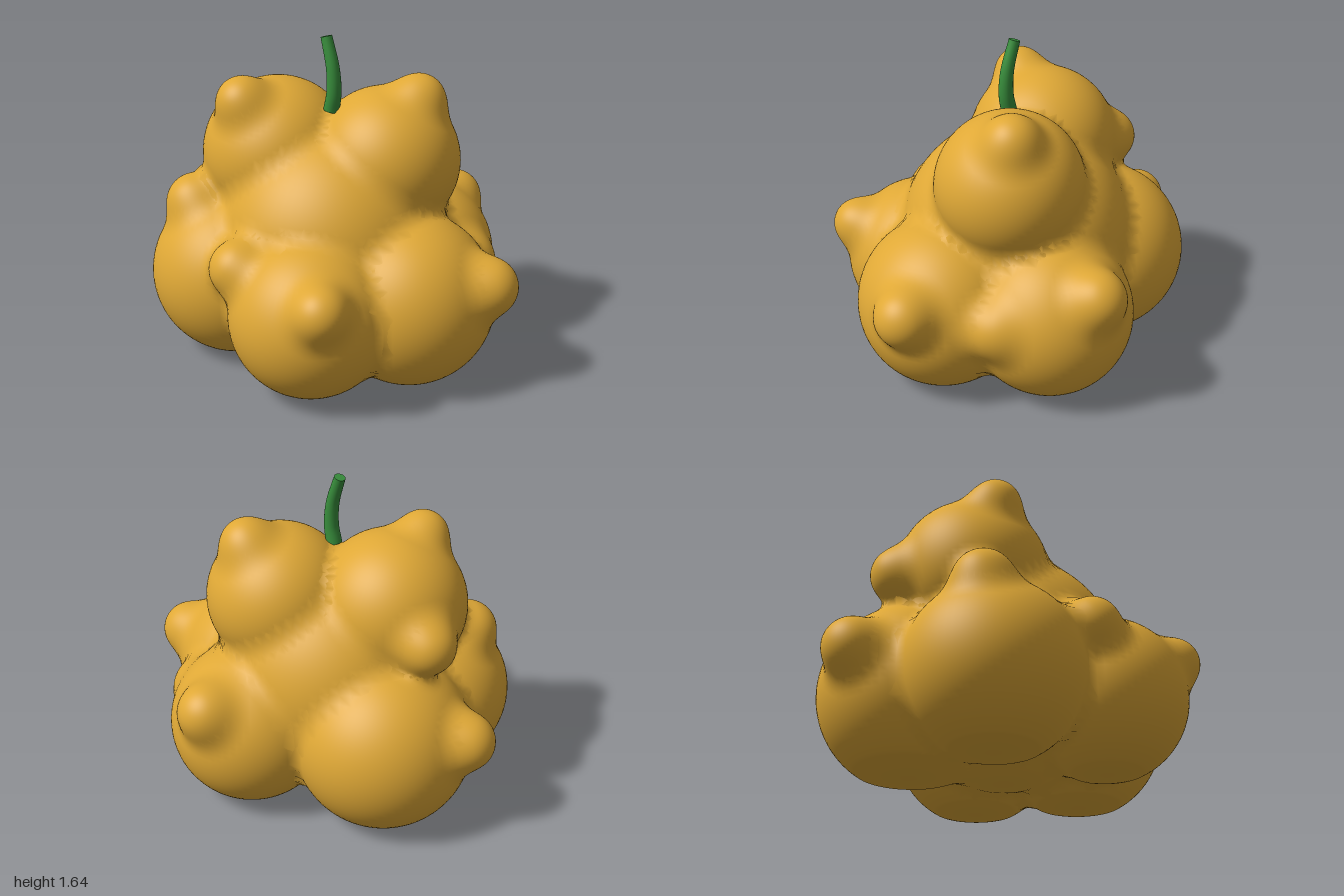
import * as THREE from 'three';

// Large lobes: name, centre x y z, radius
const LOBES = [
  ['core', 0, 0.6, 0.05, 0.59],
  ['frontRightLobe', -0.32, 0.4, 0.42, 0.43],
  ['frontLeftLobe', 0.3, 0.39, 0.46, 0.4],
  ['leftLobe', 0.5, 0.4, 0, 0.43],
  ['rightLobe', -0.45, 0.4, -0.08, 0.45],
  ['backLobe', 0.15, 0.39, -0.4, 0.415],
  ['upperFrontLobe', -0.27, 1.0, 0.17, 0.38],
  ['upperBackLobe', 0.19, 1.0, -0.14, 0.37],
];

// Small warts on the lobes
const WARTS = [
  ['upperFrontWart', -0.285, 1.3, 0.38, 0.13],
  ['upperBackWart', 0.28, 1.3, -0.27, 0.135],
  ['upperSideWart', -0.61, 0.96, 0.04, 0.14],
  ['rightWart', -0.855, 0.51, 0.06, 0.145],
  ['leftWart', 0.855, 0.53, -0.18, 0.145],
  ['frontLeftWart', 0.58, 0.58, 0.65, 0.13],
  ['frontRightWart', -0.47, 0.76, 0.55, 0.15],
  ['frontMiddleWart', 0.04, 0.62, 0.69, 0.14],
  ['backWart', 0.13, 0.61, -0.72, 0.145],
  ['backLeftWart', 0.5, 0.45, -0.43, 0.14],
];

// Blend two distances with a soft fillet of width k
function blend(a, b, k) {
  const h = Math.max(k - Math.abs(a - b), 0) / k;
  return Math.min(a, b) - h * h * k * 0.25;
}

// Signed distance to the whole blended body
function field(x, y, z) {
  let d = 10;
  for (const [, cx, cy, cz, r] of LOBES) d = blend(d, Math.hypot(x - cx, y - cy, z - cz) - r, 0.05);
  for (const [, cx, cy, cz, r] of WARTS) d = blend(d, Math.hypot(x - cx, y - cy, z - cz) - r, 0.09);
  return d;
}

// A sphere whose skin is pushed outward onto the blended body, with a squashed base
function lobeGeometry([, cx, cy, cz, r], segments) {
  const geometry = new THREE.SphereGeometry(1, segments, Math.round(segments * 0.65));
  const pos = geometry.attributes.position;
  const nor = geometry.attributes.normal;
  const dir = new THREE.Vector3(), p = new THREE.Vector3(), n = new THREE.Vector3();
  const floor = 0.03, squash = 0.35, e = 0.002;
  for (let i = 0; i < pos.count; i++) {
    dir.fromBufferAttribute(pos, i).normalize();
    let t = r;
    for (let step = 0; step < 14; step++) {
      p.set(cx, cy, cz).addScaledVector(dir, t);
      t = Math.min(t - field(p.x, p.y, p.z) * 0.9, r + 0.07);
    }
    p.set(cx, cy, cz).addScaledVector(dir, t);
    n.set(
      field(p.x + e, p.y, p.z) - field(p.x - e, p.y, p.z),
      field(p.x, p.y + e, p.z) - field(p.x, p.y - e, p.z),
      field(p.x, p.y, p.z + e) - field(p.x, p.y, p.z - e)
    );
    if (p.y < floor) {
      p.y = floor + (p.y - floor) * squash;
      n.y /= squash;
    }
    if (n.lengthSq() < 1e-12) n.copy(dir);
    n.normalize();
    pos.setXYZ(i, p.x, p.y, p.z);
    nor.setXYZ(i, n.x, n.y, n.z);
  }
  return geometry;
}

// Curved tapering stem with flat ends
function createStem(material) {
  const stem = new THREE.Group();
  stem.name = 'stem';
  const curve = new THREE.CatmullRomCurve3([
    new THREE.Vector3(0.025, 1.27, 0.075),
    new THREE.Vector3(0.043, 1.36, 0.075),
    new THREE.Vector3(0.036, 1.48, 0.075),
    new THREE.Vector3(-0.01, 1.632, 0.075),
  ]);
  const rings = 24, sides = 20, base = 0.04, tip = 0.028;
  const geometry = new THREE.TubeGeometry(curve, rings, base, sides);
  const pos = geometry.attributes.position;
  const p = new THREE.Vector3();
  for (let i = 0; i < pos.count; i++) {
    const u = Math.floor(i / (sides + 1)) / rings;
    const c = curve.getPointAt(u);
    p.fromBufferAttribute(pos, i).sub(c).multiplyScalar(1 + (tip / base - 1) * u).add(c);
    pos.setXYZ(i, p.x, p.y, p.z);
  }
  const stalk = new THREE.Mesh(geometry, material);
  stalk.name = 'stalk';
  stem.add(stalk);
  for (const [name, u, radius, sign] of [['stemBase', 0, base, -1], ['stemTip', 1, tip, 1]]) {
    const cap = new THREE.Mesh(new THREE.CircleGeometry(radius, sides), material);
    cap.name = name;
    cap.position.copy(curve.getPointAt(u));
    cap.quaternion.setFromUnitVectors(new THREE.Vector3(0, 0, 1), curve.getTangentAt(u).multiplyScalar(sign));
    stem.add(cap);
  }
  return stem;
}

export function createModel() {
  const model = new THREE.Group();
  model.name = 'lumpyGourd';
  const skin = new THREE.MeshStandardMaterial({ color: 0xdfa836 });
  skin.name = 'golden skin';
  const green = new THREE.MeshStandardMaterial({ color: 0x388e3c });
  green.name = 'stem green';

  const body = new THREE.Group();
  body.name = 'body';
  for (const [parts, segments] of [[LOBES, 72], [WARTS, 48]]) {
    for (const part of parts) {
      const mesh = new THREE.Mesh(lobeGeometry(part, segments), skin);
      mesh.name = part[0];
      body.add(mesh);
    }
  }
  model.add(body, createStem(green));
  return model;
}
